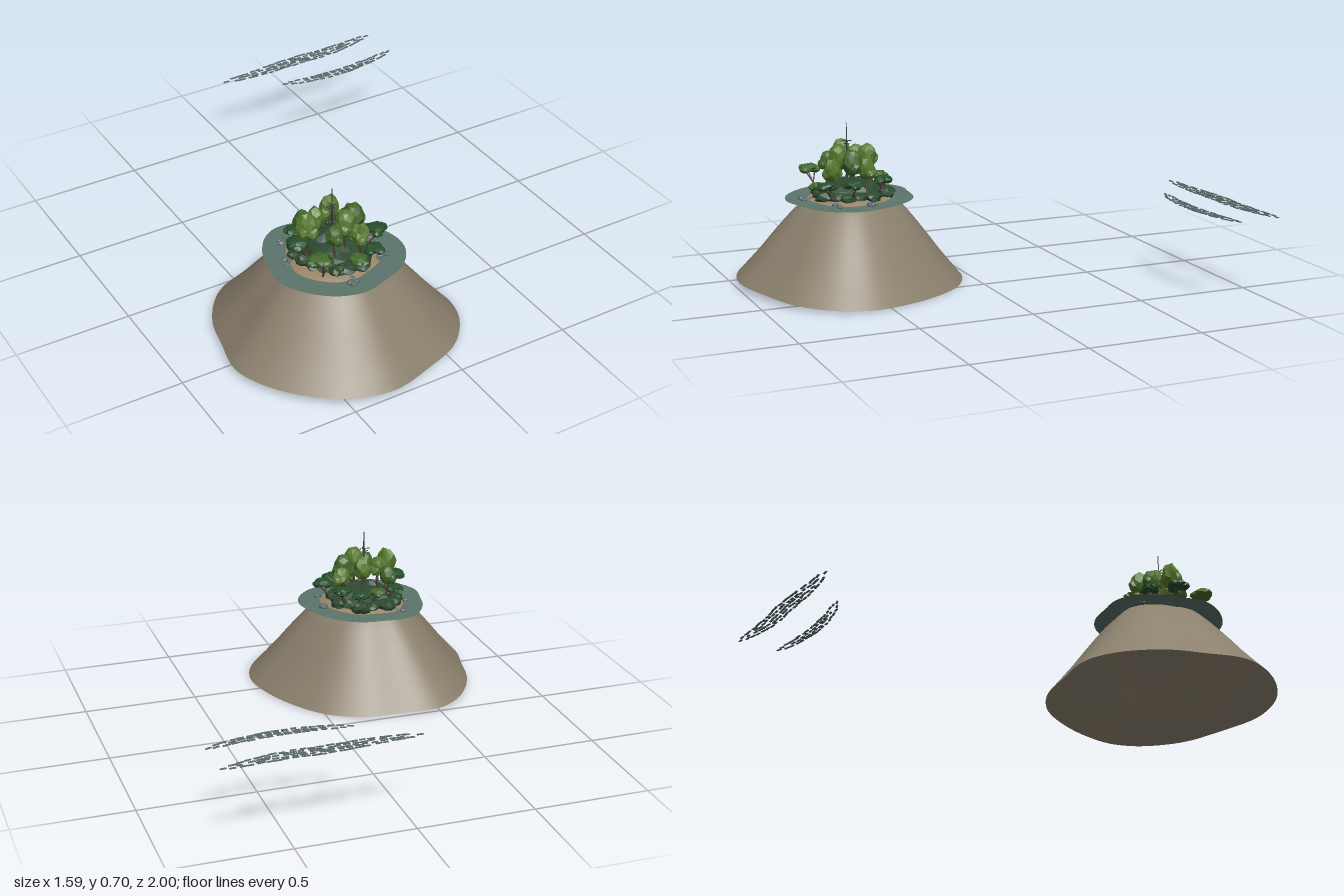
import * as THREE from 'three';
import { mergeGeometries } from 'three/addons/utils/BufferGeometryUtils.js';

const V = (x, y, z) => new THREE.Vector3(x, y, z);
const flat = (name, color, extra = {}) =>
  Object.assign(new THREE.MeshStandardMaterial({ color, ...extra }), { name });

const CX = -0.31, CZ = 0.5, WATER_Y = 0.373;
const SEG = 96;

export function createModel() {
  const model = new THREE.Group();
  const mat = {
    seabed: flat('seabed', 0x8a7f6c, { side: THREE.DoubleSide }),
    sand: flat('sand', 0x9a8668, { side: THREE.DoubleSide }),
    water: flat('water', 0x5c756c, { side: THREE.DoubleSide }),
    undergrowth: flat('undergrowth', 0x2d4a30, { flatShading: true }),
    lightLeaf: flat('lightLeaf', 0x587a30, { flatShading: true }),
    midLeaf: flat('midLeaf', 0x44692d, { flatShading: true }),
    darkLeaf: flat('darkLeaf', 0x264f2c, { flatShading: true }),
    bark: flat('bark', 0x5a412f),
    rock: flat('rock', 0x5d6b6c, { flatShading: true }),
    mast: flat('mast', 0x3c4040),
  };

  let seed = 11;
  const rnd = () => {
    seed = (seed * 16807) % 2147483647;
    return seed / 2147483647;
  };
  const add = (name, geometry, material, parent = model) => {
    const mesh = new THREE.Mesh(geometry, material);
    mesh.name = name;
    parent.add(mesh);
    return mesh;
  };

  // Wavy island outline, shared by the slope, the beach and the water
  const outline = new THREE.CatmullRomCurve3([
    [-0.45, 0], [-0.33, 0.015], [-0.15, 0.04], [0, 0.13], [0.12, 0.3], [0.19, 0.48], [0.206, 0.6],
    [0.17, 0.73], [0.05, 0.87], [-0.12, 0.945], [-0.32, 1], [-0.5, 0.96], [-0.65, 0.85],
    [-0.76, 0.7], [-0.8, 0.57], [-0.77, 0.4], [-0.73, 0.24], [-0.63, 0.085], [-0.53, 0.015],
  ].map(([x, z]) => V(x, 0, z)), true).getSpacedPoints(SEG).slice(0, SEG);

  // Rings of [share of the outline, height], from the outside inward
  const loft = (rings) => {
    const pos = [], index = [];
    rings.forEach(([t, y], r) => outline.forEach((p, i) => {
      const dx = p.x - CX, dz = p.z - CZ;
      const tilt = Math.max(0, (t - 0.5) * 2) * (0.025 * dz - 0.03 * dx);
      pos.push(CX + dx * t, y + tilt, CZ + dz * t);
      if (r === 0) return;
      const j = (i + 1) % SEG, o = (r - 1) * SEG, n = r * SEG;
      index.push(o + i, n + i, o + j, o + j, n + i, n + j);
    }));
    const g = new THREE.BufferGeometry();
    g.setAttribute('position', new THREE.Float32BufferAttribute(pos, 3));
    g.setIndex(index);
    g.computeVertexNormals();
    return g;
  };
  add('seabedSlope', loft([[1, 0.02], [0.9, 0.077], [0.8, 0.135], [0.69, 0.205], [0.6, 0.26],
    [0.5, 0.318], [0.43, 0.353], [0.4, 0.366]]), mat.seabed);
  add('beach', loft([[0.4, 0.366], [0.36, 0.378], [0.29, 0.387], [0.15, 0.393], [0.005, 0.395]]), mat.sand);
  add('water', loft([[0.565, WATER_Y], [0.36, WATER_Y]]), mat.water);

  // Faceted lump; the shift depends only on position, so corners stay joined
  const lump = (x, y, z, rx, ry, rz, { detail = 1, rough = 0.18, taper = 0 } = {}) => {
    const g = new THREE.IcosahedronGeometry(1, detail);
    const p = g.attributes.position, k = rnd() * 10, turn = rnd() * 6;
    for (let i = 0; i < p.count; i++) {
      const v = V().fromBufferAttribute(p, i);
      const s = 1 + rough * Math.sin(v.x * 5 + k) * Math.cos(v.y * 4 - k + v.z * 6);
      const w = s * (1 - taper * v.y);
      p.setXYZ(i, v.x * w, v.y * s, v.z * w);
    }
    g.rotateY(turn).scale(rx, ry, rz).translate(x, y, z);
    g.computeVertexNormals();
    return g;
  };
  const limb = (points, r) =>
    new THREE.TubeGeometry(new THREE.CatmullRomCurve3(points), 5, r, 5);

  // Undergrowth: a low mound ringed by bushes
  const bushes = [lump(CX, 0.395, CZ, 0.125, 0.065, 0.125, { detail: 2, rough: 0.15 })];
  for (let i = 0; i < 16; i++) {
    const a = i / 16 * Math.PI * 2, r = 0.115 + rnd() * 0.04, s = 0.025 + rnd() * 0.015;
    bushes.push(lump(CX + Math.cos(a) * r, 0.392, CZ + Math.sin(a) * r, s * 1.2, s * 0.8, s * 1.2));
  }
  add('undergrowth', mergeGeometries(bushes), mat.undergrowth);

  // Tall trees: [x, z, crown centre height, crown radius, crown half height]
  [[-0.42, 0.5, 0.555, 0.042, 0.057], [-0.285, 0.56, 0.56, 0.043, 0.06], [-0.22, 0.52, 0.545, 0.043, 0.058],
    [-0.36, 0.455, 0.55, 0.035, 0.045], [-0.19, 0.46, 0.515, 0.036, 0.045], [-0.35, 0.585, 0.535, 0.036, 0.045],
    [-0.28, 0.43, 0.56, 0.04, 0.052], [-0.24, 0.6, 0.51, 0.038, 0.048], [-0.395, 0.41, 0.52, 0.035, 0.045],
  ].forEach(([x, z, y, r, h], i) => {
    const tree = new THREE.Group();
    tree.name = 'tallTree';
    model.add(tree);
    add('trunk', limb([V(x + 0.01, 0.385, z), V(x - 0.004, 0.45, z + 0.006), V(x, y, z)], 0.005), mat.bark, tree);
    const crown = [lump(x, y, z, r, h, r, { taper: 0.12 })];
    for (let j = 0; j < 2; j++) {
      const a = rnd() * 6.28;
      crown.push(lump(x + Math.cos(a) * r * 0.7, y - h * 0.35, z + Math.sin(a) * r * 0.7, r * 0.55, h * 0.5, r * 0.55));
    }
    add('crown', mergeGeometries(crown), i % 3 === 2 ? mat.midLeaf : mat.lightLeaf, tree);
  });

  // Spreading shore trees with leaning trunks: [x, z, crown height, crown radius]
  [[-0.465, 0.5, 0.49, 0.042], [-0.45, 0.64, 0.488, 0.042], [-0.13, 0.545, 0.468, 0.04],
    [-0.2, 0.645, 0.455, 0.036], [-0.28, 0.655, 0.44, 0.034], [-0.175, 0.4, 0.47, 0.036],
    [-0.25, 0.365, 0.455, 0.035], [-0.33, 0.36, 0.46, 0.034], [-0.42, 0.385, 0.465, 0.034],
  ].forEach(([x, z, y, r], i) => {
    const tree = new THREE.Group();
    tree.name = 'shoreTree';
    model.add(tree);
    const bx = CX + (x - CX) * 0.8, bz = CZ + (z - CZ) * 0.85;
    const fork = V((x + bx) / 2 + 0.012, 0.425, (z + bz) / 2);
    const limbs = [limb([V(bx, 0.382, bz), V(bx + 0.005, 0.4, bz), fork], 0.005)];
    const crown = [lump(x, y, z, r, r * 0.45, r)];
    for (let j = 0; j < 3; j++) {
      const a = j * 2.1 + i;
      const tip = V(x + Math.cos(a) * r * 0.65, y - 0.006, z + Math.sin(a) * r * 0.65);
      limbs.push(limb([fork, fork.clone().lerp(tip, 0.6), tip], 0.003));
      crown.push(lump(tip.x, tip.y, tip.z, r * 0.6, r * 0.38, r * 0.6));
    }
    add('trunk', mergeGeometries(limbs), mat.bark, tree);
    add('crown', mergeGeometries(crown), i % 3 === 1 ? mat.midLeaf : mat.darkLeaf, tree);
  });

  // Boulders along the shore and a crag in the grove
  const rocks = [lump(-0.345, 0.43, 0.49, 0.03, 0.045, 0.03, { detail: 0 })];
  [[-0.42, 0.325], [-0.34, 0.695], [-0.14, 0.62], [-0.5, 0.45], [-0.12, 0.47]].forEach(([x, z]) => {
    for (let j = 0; j < 4; j++) {
      const s = 0.008 + rnd() * 0.009;
      rocks.push(lump(x + (rnd() - 0.5) * 0.05, 0.376, z + (rnd() - 0.5) * 0.04, s * 1.3, s * 0.8, s, { detail: 0 }));
    }
  });
  add('rocks', mergeGeometries(rocks), mat.rock);

  // Mast with crossbars
  const mast = [new THREE.CylinderGeometry(0.002, 0.005, 0.31, 6).translate(-0.315, 0.545, 0.51)];
  [[0.62, 0.045], [0.608, 0.03]].forEach(([y, w]) =>
    mast.push(new THREE.BoxGeometry(w, 0.003, 0.003).translate(-0.32, y, 0.51),
      new THREE.BoxGeometry(0.003, 0.003, w).translate(-0.315, y, 0.51)));
  add('mast', mergeGeometries(mast), mat.mast);

  // Two reefs of thin slabs lying on the water plane
  const reef = (name, path, rows, columns, width) => {
    const curve = new THREE.CatmullRomCurve3(path.map(([x, z]) => V(x, WATER_Y, z)));
    const slabs = [];
    for (let c = 0; c < columns; c++) {
      const t = (c + 0.5) / columns;
      const spread = width * Math.pow(Math.sin(Math.PI * t), 0.5);
      const count = Math.max(1, Math.round(rows * Math.pow(Math.sin(Math.PI * t), 0.6)));
      for (let r = 0; r < count; r++) {
        const p = curve.getPointAt(Math.min(1, Math.max(0, t + (rnd() - 0.5) * 0.02)));
        const d = curve.getTangentAt(t);
        const off = count > 1 ? (r / (count - 1) - 0.5) * spread : 0;
        slabs.push(new THREE.BoxGeometry(0.022 + rnd() * 0.012, 0.003, 0.009)
          .rotateY(-Math.atan2(d.z, d.x) + (rnd() - 0.5) * 0.2)
          .translate(p.x, p.y, p.z + off + (rnd() - 0.5) * 0.006));
      }
    }
    add(name, mergeGeometries(slabs), mat.rock);
  };
  reef('outerReef', [[-0.04, -0.94], [0.1, -0.935], [0.35, -0.948], [0.55, -0.95], [0.78, -0.985]], 5, 23, 0.062);
  reef('innerReef', [[0.18, -0.785], [0.3, -0.762], [0.48, -0.75], [0.65, -0.768], [0.79, -0.802]], 4, 17, 0.04);

  return model;
}
